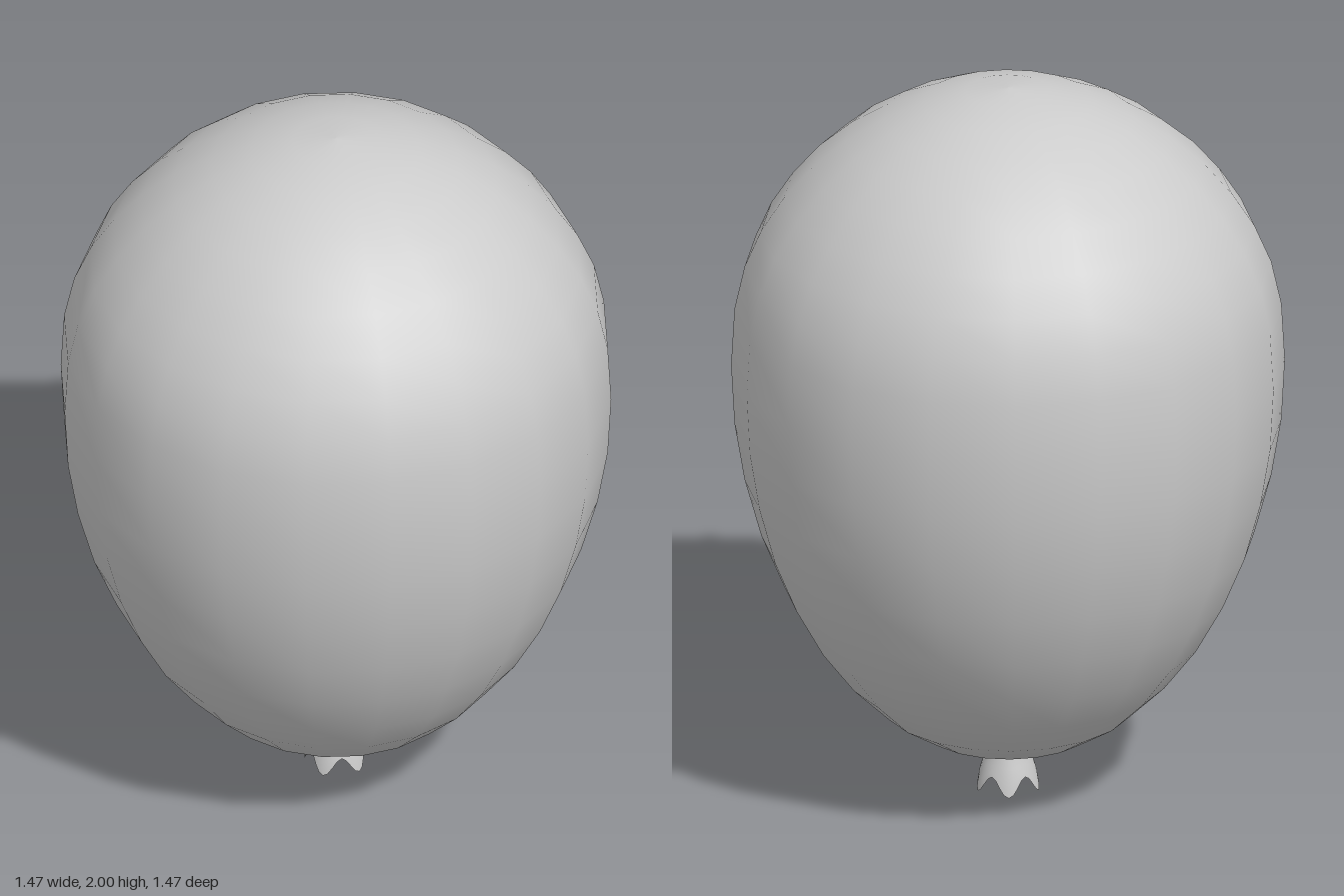
import * as THREE from 'three';

const SIDES = 20;

export function createModel() {
  const group = new THREE.Group();
  const material = new THREE.MeshStandardMaterial({ color: 0xcccccc, side: THREE.DoubleSide });

  // Egg-shaped body: radius follows a sine, ring heights run from bottom to top
  const heights = [
    0.115, 0.125, 0.169, 0.235, 0.33, 0.445, 0.58, 0.725, 0.885, 1.045, 1.215,
    1.375, 1.495, 1.597, 1.69, 1.777, 1.852, 1.913, 1.96, 1.99, 2,
  ];
  const last = heights.length - 1;
  const profile = heights.map((y, i) =>
    new THREE.Vector2(i % last === 0 ? 0 : 0.735 * Math.sin((Math.PI * i) / last), y));
  const body = new THREE.Mesh(new THREE.LatheGeometry(profile, SIDES), material);
  body.name = 'balloonBody';
  group.add(body);

  // Flared neck with a wavy open hem of five lobes
  const neckProfile = [[0.08, 0.026], [0.076, 0.05], [0.068, 0.08], [0.06, 0.11], [0.055, 0.135]]
    .map(([r, y]) => new THREE.Vector2(r, y));
  const neckGeometry = new THREE.LatheGeometry(neckProfile, SIDES * 2);
  const pos = neckGeometry.attributes.position;
  for (let i = 0; i < pos.count; i++) {
    const x = pos.getX(i), y = pos.getY(i), z = pos.getZ(i);
    const wave = Math.cos(5 * Math.atan2(z, x));
    const fade = Math.max(0, (0.11 - y) / 0.084);
    const flare = 1 + 0.06 * wave * fade;
    pos.setXYZ(i, x * flare, y - 0.026 * wave * fade * fade, z * flare);
  }
  neckGeometry.computeVertexNormals();
  const neck = new THREE.Mesh(neckGeometry, material);
  neck.name = 'balloonNeck';
  group.add(neck);

  return group;
}
